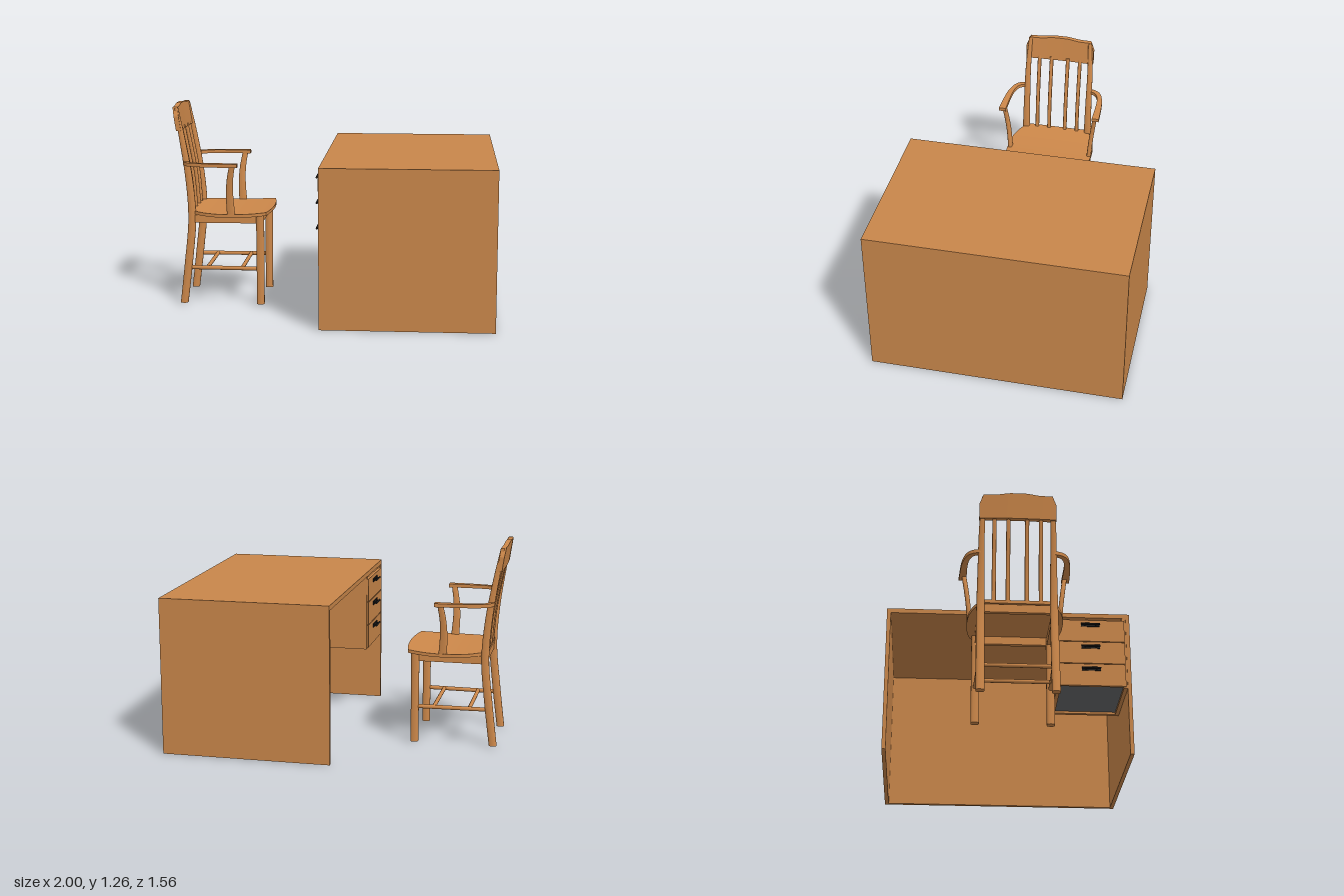
import * as THREE from 'three';

const paint = (name, color) => Object.assign(new THREE.MeshStandardMaterial({ color }), { name });

export function createModel() {
  const deskWood = paint('desk wood', 0xc8864a);
  const chairWood = paint('chair wood', 0xcd884a);
  const black = paint('black metal', 0x1c1c1c);
  const grey = paint('grey drawer base', 0x66686a);

  const model = new THREE.Group();
  const desk = new THREE.Group();
  const chair = new THREE.Group();
  desk.name = 'desk';
  chair.name = 'chair';
  model.add(desk, chair);

  const add = (parent, name, geometry, material) => {
    const mesh = new THREE.Mesh(geometry, material);
    mesh.name = name;
    parent.add(mesh);
    return mesh;
  };

  // Box given by its limits on each axis
  const box = (parent, name, material, [x0, x1], [y0, y1], [z0, z1]) => {
    const g = new THREE.BoxGeometry(x1 - x0, y1 - y0, z1 - z0);
    g.translate((x0 + x1) / 2, (y0 + y1) / 2, (z0 + z1) / 2);
    return add(parent, name, g, material);
  };

  // Round rod between two points
  const rod = (parent, name, material, a, b, r) => {
    const p = new THREE.Vector3(...a), q = new THREE.Vector3(...b);
    const mesh = add(parent, name, new THREE.CylinderGeometry(r, r, p.distanceTo(q), 12), material);
    mesh.position.copy(p).add(q).multiplyScalar(0.5);
    mesh.quaternion.setFromUnitVectors(new THREE.Vector3(0, 1, 0), q.sub(p).normalize());
  };

  // Upright curved post: stations are [x, y, z, width in x, width in z]
  const post = (parent, name, material, stations, steps = 16) => {
    const path = new THREE.CatmullRomCurve3(stations.map((s) => new THREE.Vector3(s[0], s[1], s[2])));
    const g = new THREE.CylinderGeometry(1, 1, 1, 16, steps);
    const pos = g.attributes.position;
    const soft = (v) => Math.sign(v) * Math.abs(v) ** 0.7;
    for (let i = 0; i < pos.count; i++) {
      const t = pos.getY(i) + 0.5;
      const c = path.getPoint(t);
      const k = Math.min(t * (stations.length - 1), stations.length - 1.0001);
      const a = stations[Math.floor(k)], b = stations[Math.floor(k) + 1], f = k % 1;
      const w = THREE.MathUtils.lerp(a[3], b[3], f), d = THREE.MathUtils.lerp(a[4], b[4], f);
      pos.setXYZ(i, c.x + soft(pos.getX(i)) * w / 2, c.y, c.z + soft(pos.getZ(i)) * d / 2);
    }
    g.computeVertexNormals();
    return add(parent, name, g, material);
  };

  // Move every vertex of a geometry by a rule
  const warp = (g, rule) => {
    const pos = g.attributes.position;
    for (let i = 0; i < pos.count; i++) pos.setXYZ(i, ...rule(pos.getX(i), pos.getY(i), pos.getZ(i)));
    g.computeVertexNormals();
    return g;
  };

  // Desk panels
  box(desk, 'desktop', deskWood, [-0.04, 1], [0.935, 0.965], [-0.78, 0.78]);
  box(desk, 'modestyPanel', deskWood, [0.975, 1], [0, 0.935], [-0.755, 0.755]);
  for (const s of [-1, 1]) {
    const z = [s * 0.755, s * 0.78].sort((a, b) => a - b);
    box(desk, 'endPanel', deskWood, [-0.04, 1], [0, 0.935], z);
  }

  // Drawer cabinet, open underneath with a recessed grey drawer base
  box(desk, 'cabinetSide', deskWood, [-0.035, 0.415], [0.445, 0.935], [0.305, 0.33]);
  box(desk, 'cabinetSide', deskWood, [-0.035, 0.415], [0.445, 0.935], [0.73, 0.755]);
  box(desk, 'cabinetBack', deskWood, [0.39, 0.415], [0.445, 0.935], [0.33, 0.73]);
  box(desk, 'drawerBase', grey, [-0.025, 0.39], [0.46, 0.468], [0.33, 0.73]);

  // Drawer fronts with bar pulls
  for (let i = 0; i < 3; i++) {
    const y = 0.455 + i * 0.155;
    box(desk, 'drawerFront', deskWood, [-0.045, -0.025], [y, y + 0.15], [0.31, 0.745]);
    const h = y + 0.115;
    box(desk, 'pullPlate', black, [-0.05, -0.045], [h - 0.012, h + 0.012], [0.465, 0.585]);
    rod(desk, 'pullBar', black, [-0.066, h, 0.465], [-0.066, h, 0.585], 0.006);
    for (const z of [0.49, 0.56]) rod(desk, 'pullStem', black, [-0.066, h, z], [-0.045, h, z], 0.006);
  }

  // Saddled seat, widest past the middle, with a bowed front
  const seat = warp(new THREE.BoxGeometry(1, 0.02, 2, 16, 1, 16), (x, y, v) => {
    const u = x + 0.5;
    const half = u > 0.6 ? 0.285 - 0.03 * ((u - 0.6) / 0.4) ** 2 : 0.285 - 0.085 * ((0.6 - u) / 0.6) ** 3;
    const px = -0.895 + 0.485 * u + 0.025 * u * u * (1 - v * v);
    return [px, 0.579 + y + 0.012 * ((px + 0.65) / 0.25) ** 2, v * half];
  });
  add(chair, 'seat', seat, chairWood);

  // Seat rails
  box(chair, 'frontRail', chairWood, [-0.465, -0.44], [0.525, 0.575], [-0.215, 0.215]);
  box(chair, 'backRail', chairWood, [-0.89, -0.865], [0.525, 0.575], [-0.205, 0.205]);

  for (const s of [-1, 1]) {
    // Legs
    post(chair, 'frontLeg', chairWood, [[-0.452, 0.01, s * 0.225, 0.048, 0.05], [-0.452, 0.575, s * 0.225, 0.05, 0.05]], 1);
    post(chair, 'backLeg', chairWood, [
      [-0.94, 0.008, s * 0.213, 0.048, 0.05],
      [-0.908, 0.27, s * 0.213, 0.05, 0.05],
      [-0.882, 0.55, s * 0.213, 0.048, 0.048],
      [-0.898, 0.8, s * 0.212, 0.044, 0.04],
      [-0.937, 1.05, s * 0.21, 0.036, 0.034],
      [-0.972, 1.24, s * 0.2, 0.026, 0.026],
    ], 24);

    // Side rail and stretcher
    box(chair, 'sideRail', chairWood, [-0.875, -0.455], [0.525, 0.575], s > 0 ? [0.205, 0.23] : [-0.23, -0.205]);
    rod(chair, 'sideStretcher', chairWood, [-0.452, 0.235, s * 0.225], [-0.91, 0.235, s * 0.213], 0.013);

    // Bowed arm support
    post(chair, 'armSupport', chairWood, [
      [-0.627, 0.575, s * 0.268, 0.052, 0.028],
      [-0.634, 0.7, s * 0.278, 0.046, 0.028],
      [-0.63, 0.8, s * 0.29, 0.04, 0.028],
      [-0.615, 0.892, s * 0.303, 0.036, 0.028],
    ]);

    // Armrest curving in to the back post
    const arm = new THREE.Shape();
    arm.moveTo(-0.58, 0.335);
    arm.bezierCurveTo(-0.68, 0.33, -0.78, 0.328, -0.84, 0.31);
    arm.bezierCurveTo(-0.9, 0.295, -0.925, 0.27, -0.932, 0.215);
    arm.lineTo(-0.9, 0.215);
    arm.bezierCurveTo(-0.895, 0.255, -0.875, 0.27, -0.83, 0.28);
    arm.bezierCurveTo(-0.77, 0.292, -0.68, 0.288, -0.58, 0.288);
    const armGeo = new THREE.ExtrudeGeometry(arm, { depth: 0.022, bevelEnabled: false, curveSegments: 10 });
    armGeo.rotateX(Math.PI / 2);
    armGeo.translate(0, 0.912, 0);
    if (s < 0) {
      // Half turn about x mirrors the flat arm to the other side
      armGeo.rotateX(Math.PI);
      armGeo.translate(0, 0.912 + 0.89, 0);
    }
    add(chair, 'armrest', armGeo, chairWood);

    // Back spindles
    for (const z of [0.055, 0.137]) {
      post(chair, 'backSpindle', chairWood, [
        [-0.882, 0.58, s * z, 0.022, 0.025],
        [-0.9, 0.8, s * z, 0.022, 0.025],
        [-0.957, 1.12, s * z, 0.022, 0.025],
      ]);
    }
  }

  // Cross stretchers
  for (const x of [-0.57, -0.79]) {
    rod(chair, 'crossStretcher', chairWood, [x, 0.235, -0.222], [x, 0.235, 0.222], 0.012);
  }

  // Leaning crest rail with a raised middle and clipped corners
  const topAt = (z) => {
    const { mapLinear } = THREE.MathUtils;
    if (z < 0.05) return 1.257;
    if (z < 0.12) return mapLinear(z, 0.05, 0.12, 1.257, 1.247);
    if (z < 0.205) return 1.246;
    return mapLinear(z, 0.205, 0.227, 1.246, 1.19);
  };
  const crest = warp(new THREE.BoxGeometry(0.03, 1, 0.454, 1, 2, 20), (x, y, z) => {
    const py = 1.1 + (topAt(Math.abs(z)) - 1.1) * (y + 0.5);
    return [x - 0.956 - 0.15 * (py - 1.1) - 0.006 * (1 - (z / 0.227) ** 2), py, z];
  });
  add(chair, 'crestRail', crest, chairWood);

  return model;
}
